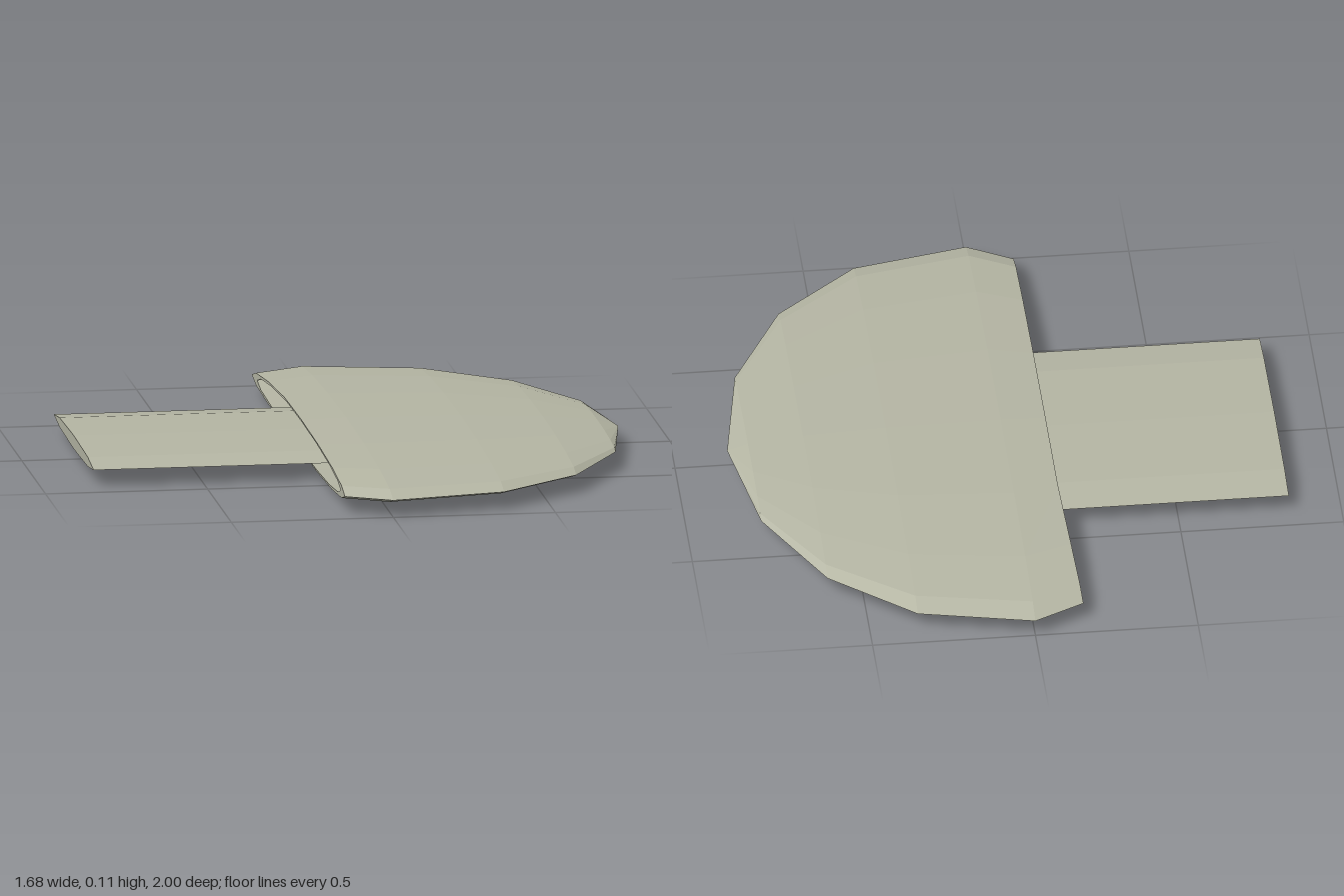
import * as THREE from 'three';

const MID_Y = 0.054; // height of the flat mid plane

// Sweeps flattened elliptical rings [x, half width z, half height y] along x.
function loft(rings, sides, material, name, bend = () => 0) {
  const positions = [];
  const point = ([x, w, h], j) => {
    const a = (j % sides) / sides * Math.PI * 2;
    const z = w * Math.cos(a);
    return [x + bend(x, z), MID_Y + h * Math.sin(a), z];
  };
  for (let i = 0; i < rings.length - 1; i++) {
    const r0 = rings[i], r1 = rings[i + 1];
    for (let j = 0; j < sides; j++) {
      const a = point(r0, j), b = point(r1, j);
      const c = point(r1, j + 1), d = point(r0, j + 1);
      if (r1[1] > 0) positions.push(...a, ...b, ...c);
      if (r0[1] > 0) positions.push(...a, ...c, ...d);
    }
  }
  const geometry = new THREE.BufferGeometry();
  geometry.setAttribute('position', new THREE.Float32BufferAttribute(positions, 3));
  geometry.computeVertexNormals();
  const mesh = new THREE.Mesh(geometry, material);
  mesh.name = name;
  return mesh;
}

export function createModel() {
  const group = new THREE.Group();
  group.name = 'flatMushroom';
  const cream = new THREE.MeshStandardMaterial({ color: 0xb5b6a4 });
  cream.name = 'greyCream';
  cream.flatShading = true;

  // Cap: profile runs from the hollow inside, round the rim, to the outer pole
  const profile = [
    [0.45, 0], [0.38, 0.45], [0.2, 0.74], [0, 0.86], [-0.138, 0.83],
    [-0.138, 0.922], [0, 1], [0.353, 0.924], [0.607, 0.707], [0.776, 0.383], [0.84, 0],
  ];
  const capRings = profile.map(([x, r]) => [x, r, r * 0.053]);
  // One end of the rim sags slightly outward
  const sag = (x, z) => (x < -0.1 && z < -0.4 ? (z + 0.4) * 0.034 : 0);
  group.add(loft(capRings, 16, cream, 'cap', sag));

  // Stem: closed flattened tube reaching into the hollow cap
  const stemRings = [[-0.84, 0, 0], [-0.84, 0.42, 0.021], [0.3, 0.42, 0.021], [0.3, 0, 0]];
  group.add(loft(stemRings, 8, cream, 'stem'));

  return group;
}
